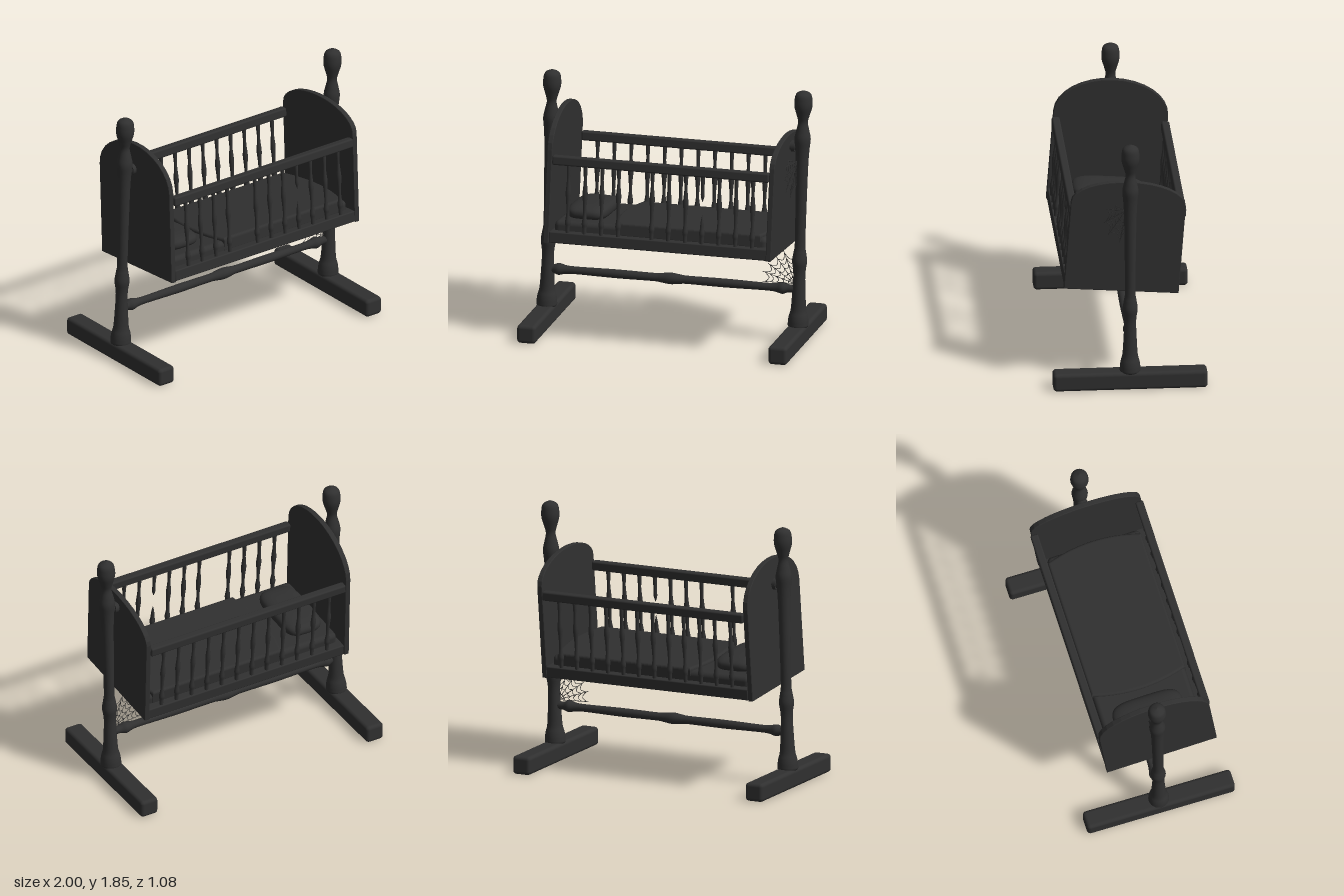
import * as THREE from 'three';
import { RoundedBoxGeometry } from 'three/addons/geometries/RoundedBoxGeometry.js';
import { mergeGeometries } from 'three/addons/utils/BufferGeometryUtils.js';

const darkWood = new THREE.MeshStandardMaterial({ color: 0x303030 });
darkWood.name = 'charcoal';

function add(parent, name, geometry, x = 0, y = 0, z = 0) {
  const mesh = new THREE.Mesh(geometry, darkWood);
  mesh.name = name;
  mesh.position.set(x, y, z);
  parent.add(mesh);
  return mesh;
}

const box = (w, h, d, r) => new RoundedBoxGeometry(w, h, d, 3, r);

// Turned part: [radius, height] stations smoothed by a spline
function turned(stations, sides = 20, samples = 48) {
  const curve = new THREE.SplineCurve(stations.map(([r, y]) => new THREE.Vector2(r, y)));
  const points = curve.getPoints(samples);
  points.forEach(p => { p.x = Math.max(p.x, 0); });
  return new THREE.LatheGeometry(points, sides);
}

// Thin thread through a few points
const thread = (points, r = 0.0022) =>
  new THREE.TubeGeometry(new THREE.CatmullRomCurve3(points), 6, r, 4);

// Fan-shaped cobweb: spokes from a hub with sagging cross threads
function cobweb(hub, tips) {
  const parts = tips.map(t => thread([hub, t]));
  for (const f of [0.22, 0.4, 0.58, 0.76, 0.92]) {
    for (let i = 0; i < tips.length - 1; i++) {
      const a = hub.clone().lerp(tips[i], f);
      const b = hub.clone().lerp(tips[i + 1], f);
      const sag = a.clone().lerp(b, 0.5).lerp(hub, 0.14);
      parts.push(thread([a, sag, b]));
    }
  }
  return mergeGeometries(parts);
}

// Arched end board, lying in the zy plane
function endBoard(rise) {
  const w = 0.398, bottom = 0.7, shoulder = 1.36, depth = 0.028, bevel = 0.005;
  const shape = new THREE.Shape();
  shape.moveTo(-w, bottom);
  shape.lineTo(w, bottom);
  shape.lineTo(w, shoulder);
  for (let i = 1; i <= 16; i++) {
    const a = (i / 16) * Math.PI;
    shape.lineTo(w * Math.cos(a), shoulder + rise * Math.sin(a));
  }
  const g = new THREE.ExtrudeGeometry(shape, {
    depth, bevelEnabled: true, bevelSize: bevel, bevelThickness: bevel, bevelSegments: 2
  });
  return g.translate(0, 0, -depth / 2).rotateY(Math.PI / 2);
}

// Blanket outline with bowed ends, extruded upward
function blanketGeometry() {
  const s = new THREE.Shape();
  s.moveTo(-0.3, -0.325);
  s.lineTo(0.71, -0.325);
  s.quadraticCurveTo(0.815, 0, 0.71, 0.325);
  s.lineTo(-0.3, 0.325);
  s.quadraticCurveTo(-0.4, 0, -0.3, -0.325);
  const g = new THREE.ExtrudeGeometry(s, {
    depth: 0.07, bevelEnabled: true, bevelSize: 0.018, bevelThickness: 0.018, bevelSegments: 4, curveSegments: 16
  });
  return g.rotateX(-Math.PI / 2);
}

export function createModel() {
  const model = new THREE.Group();
  model.name = 'cradle';

  // Stand: feet, leaning turned posts and pivot pegs
  const postProfile = [
    [0, 0.11], [0.066, 0.12], [0.072, 0.155], [0.066, 0.2], [0.054, 0.25], [0.047, 0.36], [0.042, 0.48],
    [0.045, 0.54], [0.053, 0.6], [0.045, 0.66], [0.037, 0.73], [0.039, 1.0], [0.044, 1.3], [0.05, 1.42],
    [0.057, 1.5], [0.046, 1.56], [0.034, 1.62], [0.045, 1.67], [0.062, 1.73], [0.063, 1.78], [0.05, 1.83], [0, 1.855]
  ];
  const postGeometry = turned(postProfile, 24, 90);
  for (const [side, x, pegX] of [['right', -0.932, -0.845], ['left', 0.889, 0.868]]) {
    add(model, side + 'Foot', box(0.136, 0.13, 1.08, 0.025), x, 0.065, 0);
    add(model, side + 'Post', postGeometry, x, 0, 0).rotation.z = -0.024;
    add(model, side + 'Peg', new THREE.CylinderGeometry(0.028, 0.028, 0.1, 16), pegX, 1.44, 0)
      .rotation.z = Math.PI / 2;
    add(model, side + 'PegCollar', new THREE.CylinderGeometry(0.04, 0.04, 0.025, 16),
      pegX + (x < 0 ? 0.012 : -0.008), 1.44, 0).rotation.z = Math.PI / 2;
  }

  // Turned stretcher between the posts
  const stretcher = turned([
    [0.028, -0.87], [0.03, -0.85], [0.042, -0.81], [0.031, -0.76], [0.027, -0.68], [0.031, -0.4], [0.029, -0.13],
    [0.033, -0.07], [0.041, 0], [0.033, 0.07], [0.029, 0.13], [0.031, 0.4], [0.027, 0.68], [0.031, 0.76],
    [0.042, 0.81], [0.03, 0.85], [0.028, 0.9]
  ], 16, 80);
  add(model, 'stretcher', stretcher, -0.03, 0.392, 0).rotation.z = -Math.PI / 2;

  // Swinging bed, tipped about its pegs
  const swing = new THREE.Group();
  swing.name = 'swingingBed';
  swing.position.y = 1.44;
  swing.rotation.x = -0.075;
  model.add(swing);
  const bed = new THREE.Group();
  bed.name = 'bed';
  bed.position.y = -1.44;
  swing.add(bed);

  // End boards lean along with the posts
  for (const [name, x, rise] of [['headboard', -0.8, 0.26], ['footboard', 0.811, 0.165]]) {
    const lean = new THREE.Group();
    lean.name = name + 'Lean';
    lean.position.set(x, 1.15, 0);
    lean.rotation.z = -0.024;
    bed.add(lean);
    add(lean, name, endBoard(rise), 0, -1.15, 0);
  }

  // Tray, mattress, blanket and pillow
  add(bed, 'tray', box(1.58, 0.08, 0.8, 0.008), 0, 0.737, 0);
  add(bed, 'mattress', box(1.54, 0.11, 0.68, 0.035), 0, 0.79, 0);
  add(bed, 'blanket', blanketGeometry(), 0, 0.78, 0);
  const pillow = new THREE.SphereGeometry(1, 32, 20);
  const p = pillow.attributes.position;
  const puff = (v, e) => Math.sign(v) * Math.pow(Math.abs(v), e);
  for (let i = 0; i < p.count; i++) {
    // Squared-off ellipsoid
    const y = p.getY(i), ring = Math.hypot(p.getX(i), p.getZ(i)) || 1;
    const r = Math.pow(ring, 0.6);
    p.setXYZ(i, 0.145 * r * puff(p.getX(i) / ring, 0.5), 0.058 * puff(y, 0.8), 0.255 * r * puff(p.getZ(i) / ring, 0.5));
  }
  pillow.computeVertexNormals();
  add(bed, 'pillow', pillow, -0.58, 0.88, 0);

  // Rails and turned spindles, two of them damaged at the front
  const spindle = turned([
    [0.013, 0.76], [0.015, 0.82], [0.02, 0.85], [0.014, 0.89], [0.011, 0.93], [0.014, 1.0], [0.019, 1.06],
    [0.014, 1.12], [0.011, 1.17], [0.014, 1.22], [0.015, 1.28]
  ], 10, 30);
  const lowerStub = turned([[0.013, 0.76], [0.015, 0.82], [0.02, 0.85], [0.014, 0.89], [0.011, 0.93], [0, 0.985]], 10, 16);
  const upperStub = turned([[0, 1.075], [0.013, 1.12], [0.011, 1.17], [0.014, 1.22], [0.015, 1.28]], 10, 16);
  for (const [side, sign] of [['front', 1], ['back', -1]]) {
    add(bed, side + 'Rail', box(1.57, 0.066, 0.056, 0.012), 0.01, 1.293, sign * 0.385);
    for (let i = 0; i < 12; i++) {
      const x = -0.66 + i * 0.1215, z = sign * 0.38;
      if (sign > 0 && i === 4) continue;
      if (sign > 0 && i === 8) {
        add(bed, 'brokenSpindleLower', lowerStub, x, 0, z);
        add(bed, 'brokenSpindleUpper', upperStub, x, 0, z);
      } else {
        add(bed, side + 'Spindle', spindle, x, 0, z);
      }
    }
  }

  // Cobwebs at the stretcher corner and between post and footboard
  const v = (x, y, z) => new THREE.Vector3(x, y, z);
  add(model, 'lowerCobweb', cobweb(v(0.87, 0.43, 0), [
    v(0.64, 0.435, 0.02), v(0.64, 0.51, 0.02), v(0.68, 0.57, 0.02), v(0.74, 0.62, 0.015), v(0.79, 0.67, 0.01), v(0.87, 0.64, 0)
  ]));
  add(model, 'upperCobweb', cobweb(v(0.895, 1.34, 0.03), [
    v(0.845, 1.36, 0.1), v(0.842, 1.33, 0.16), v(0.842, 1.23, 0.18), v(0.845, 1.14, 0.15), v(0.855, 1.08, 0.07), v(0.885, 1.14, 0.035)
  ]));

  return model;
}
